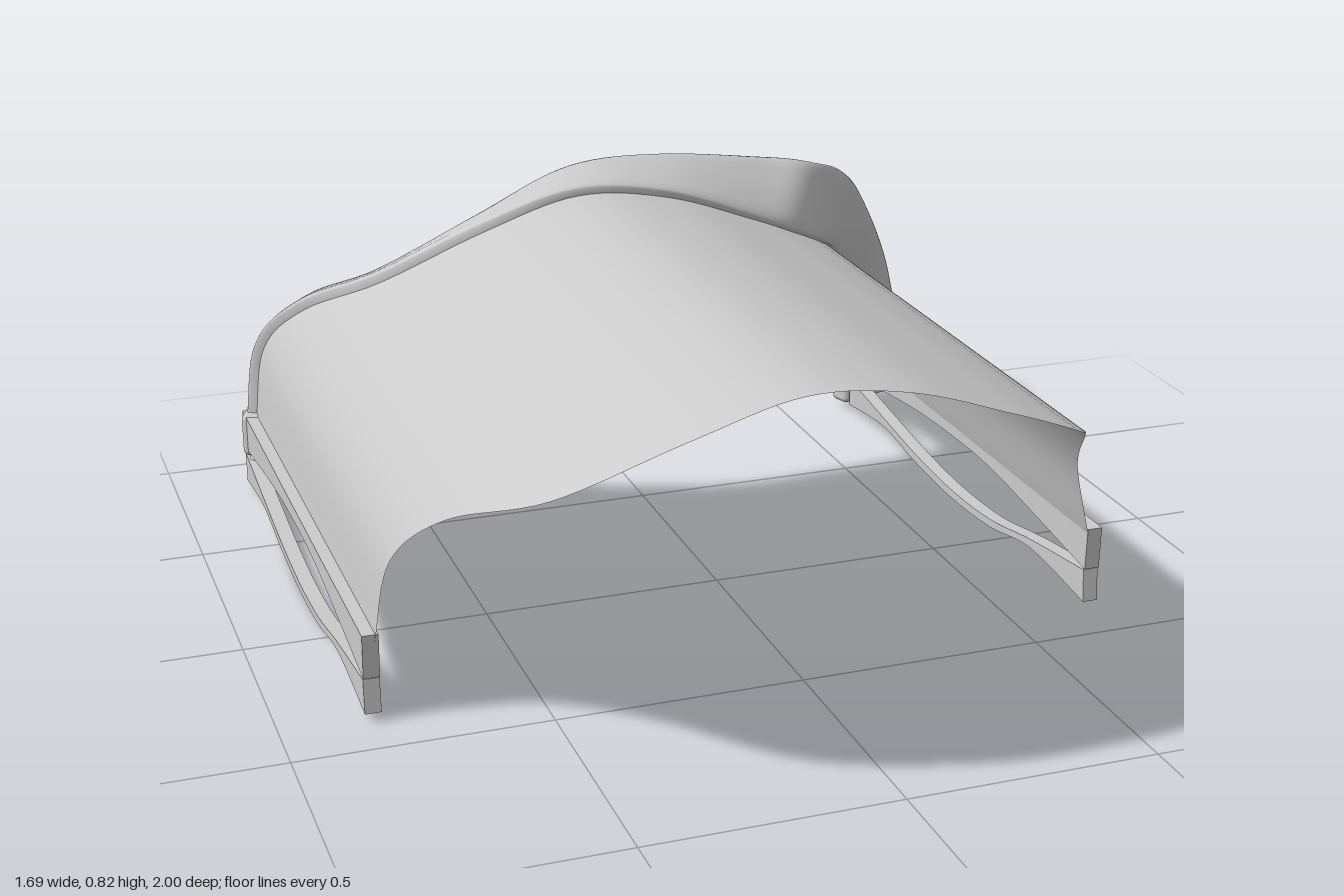
import * as THREE from 'three';
import { RoundedBoxGeometry } from 'three/addons/geometries/RoundedBoxGeometry.js';

const material = new THREE.MeshStandardMaterial({ color: 0xcccccc });
const thinMaterial = new THREE.MeshStandardMaterial({ color: 0xcccccc, side: THREE.DoubleSide });

// Arch stations: x, y, front z, rear z, then the offset to the band's rear edge
const stations = [
  [-0.815, 0.17, 0.40, -0.84, 0.03, 0, -0.05],
  [-0.79, 0.35, 0.45, -0.82, 0.03, -0.03, -0.07],
  [-0.72, 0.48, 0.60, -0.67, 0.04, -0.03, -0.12],
  [-0.60, 0.60, 0.86, -0.43, 0.03, -0.03, -0.12],
  [-0.40, 0.725, 0.985, -0.31, 0.02, -0.02, -0.12],
  [-0.20, 0.785, 1.0, -0.30, 0.02, 0.01, -0.13],
  [0.00, 0.76, 0.98, -0.31, 0.03, 0.04, -0.14],
  [0.20, 0.685, 0.94, -0.34, 0.07, 0.08, -0.15],
  [0.30, 0.64, 0.90, -0.37, 0.10, 0.10, -0.14],
  [0.40, 0.585, 0.83, -0.45, 0.12, 0.095, -0.20],
  [0.50, 0.505, 0.66, -0.62, 0.14, 0.07, -0.20],
  [0.60, 0.35, 0.45, -0.82, 0.16, 0.03, -0.12],
  [0.66, 0.17, 0.40, -0.87, 0.15, 0, -0.08],
];
const curveOf = (pick) =>
  new THREE.CatmullRomCurve3(stations.map((s) => new THREE.Vector3(...pick(s))), false, 'catmullrom', 0.5);
const frontEdge = curveOf((s) => [s[0], s[1], s[2]]);
const rearEdge = curveOf((s) => [s[0], s[1], s[3]]);
const bandEdge = curveOf((s) => [s[0] + s[4], s[1] + s[5], s[3] + s[6]]);
const STEPS = 96;

// Skin a list of cross-sections with quads
function loft(rings, closed) {
  const n = rings[0].length;
  const index = [];
  for (let i = 0; i < rings.length - 1; i++) {
    for (let j = 0; j < (closed ? n : n - 1); j++) {
      const k = (j + 1) % n;
      const a = i * n + j, b = i * n + k, c = b + n, d = a + n;
      index.push(a, b, c, a, c, d);
    }
  }
  const geometry = new THREE.BufferGeometry().setFromPoints(rings.flat());
  geometry.setIndex(index);
  geometry.computeVertexNormals();
  return geometry;
}

function add(parent, name, geometry, mat = material) {
  const mesh = new THREE.Mesh(geometry, mat);
  mesh.name = name;
  parent.add(mesh);
  return mesh;
}

// Thin curved sheet between the front and rear edges
function canopyGeometry() {
  const rings = [];
  for (let i = 0; i <= STEPS; i++) {
    const f = frontEdge.getPoint(i / STEPS), r = rearEdge.getPoint(i / STEPS);
    rings.push([0, 0.25, 0.5, 0.75, 1].map((t) => r.clone().lerp(f, t)));
  }
  // reversed so that the outer side is the front face
  return loft(rings.reverse(), false);
}

// Twisting strap with a rounded-rectangle section
function bandGeometry() {
  const rings = [];
  const soft = (v) => Math.sign(v) * Math.abs(v) ** 0.4;
  for (let i = 0; i <= STEPS; i++) {
    const t = i / STEPS;
    const f = rearEdge.getPoint(t), b = bandEdge.getPoint(t);
    const centre = f.clone().lerp(b, 0.5);
    const across = b.clone().sub(f);
    const half = across.length() / 2 + 0.008;
    const tangent = rearEdge.getTangent(t).add(bandEdge.getTangent(t)).normalize();
    across.normalize();
    const normal = tangent.clone().cross(across).normalize();
    const ring = [];
    for (let j = 0; j < 20; j++) {
      const a = (j / 20) * Math.PI * 2;
      ring.push(centre.clone()
        .addScaledVector(across, half * soft(Math.cos(a)))
        .addScaledVector(normal, 0.022 * soft(Math.sin(a))));
    }
    rings.push(ring);
  }
  return loft(rings, true);
}

// Side strip: outline given in (z, y), extruded along x and centred on it
function stripGeometry(top, bottom, width) {
  const shape = new THREE.Shape();
  const toV = (p) => new THREE.Vector2(...p);
  shape.moveTo(...top[0]);
  shape.splineThru(top.slice(1).map(toV));
  const back = bottom.slice().reverse();
  shape.lineTo(...back[0]);
  shape.splineThru(back.slice(1).map(toV));
  shape.closePath();
  const geometry = new THREE.ExtrudeGeometry(shape, { depth: width, bevelEnabled: false, curveSegments: 24 });
  geometry.translate(0, 0, -width / 2);
  geometry.rotateY(-Math.PI / 2);
  return geometry;
}

export function createModel() {
  const model = new THREE.Group();
  model.name = 'archedCanopy';
  add(model, 'canopySheet', canopyGeometry(), thinMaterial);
  add(model, 'rearBand', bandGeometry());

  // Upper rail and bowed lower strip on both sides
  const rail = stripGeometry(
    [[0.4, 0.185], [-0.25, 0.185], [-0.87, 0.185]],
    [[0.395, 0.095], [0.2, 0.12], [-0.05, 0.148], [-0.25, 0.152], [-0.5, 0.14], [-0.87, 0.098]], 0.032);
  const bow = stripGeometry(
    [[0.39, 0.092], [0.15, 0.062], [-0.05, 0.03], [-0.25, 0.022], [-0.45, 0.034], [-0.65, 0.058], [-0.86, 0.085]],
    [[0.395, 0.022], [0.15, 0.042], [-0.05, 0.012], [-0.25, 0.003], [-0.45, 0.014], [-0.65, 0.036], [-0.86, 0.018]], 0.032);
  for (const [side, x] of [['right', -0.823], ['left', 0.674]]) {
    add(model, side + 'Rail', rail).position.x = x;
    add(model, side + 'LowerStrip', bow).position.x = x;
  }

  // Collars and toes where the band ends: name, size, position, turn about y
  const feet = [
    ['leftCollar', [0.23, 0.1, 0.085], [0.72, 0.14, -0.925], 0.3],
    ['leftToe', [0.18, 0.075, 0.055], [0.725, 0.055, -0.92], 0.35],
    ['rightCollar', [0.065, 0.1, 0.09], [-0.805, 0.14, -0.855], -0.35],
    ['rightToe', [0.045, 0.08, 0.07], [-0.807, 0.05, -0.85], -0.3],
  ];
  for (const [name, size, position, turn] of feet) {
    const foot = add(model, name, new RoundedBoxGeometry(...size, 3, 0.014));
    foot.position.set(...position);
    foot.rotation.y = turn;
  }
  return model;
}
